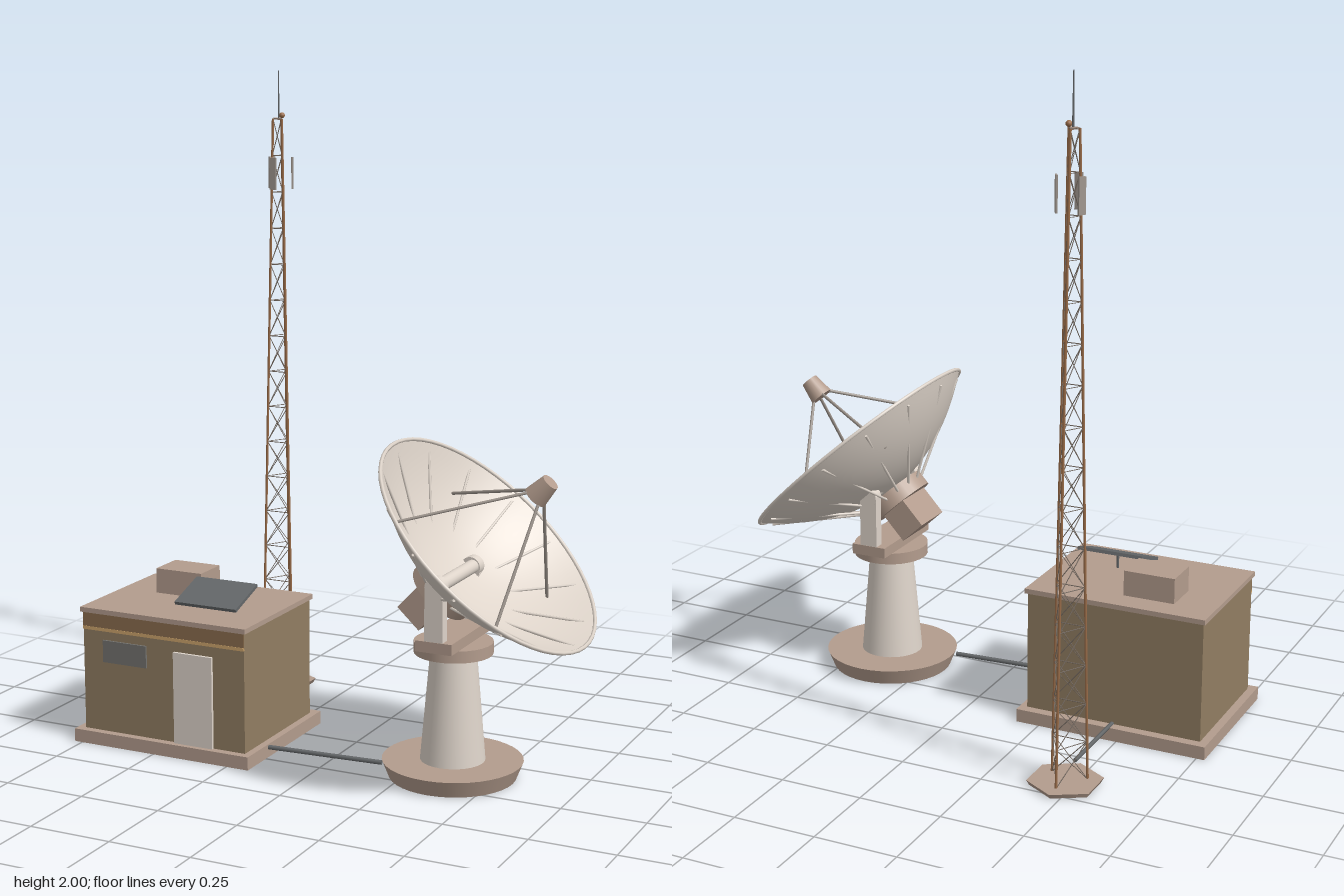
import * as THREE from 'three';

const mat = (name, color) => {
  const m = new THREE.MeshStandardMaterial({ color });
  m.name = name;
  return m;
};

export function createModel() {
  const model = new THREE.Group();
  model.name = 'groundStation';
  const pale = mat('pale paint', 0xded4ca);
  pale.side = THREE.DoubleSide;
  const clay = mat('clay brown', 0xb39c8d);
  const wallTan = mat('wall tan', 0x917d62);
  const bandBrown = mat('band brown', 0x8a6d4e);
  const stripeOchre = mat('ochre', 0xcda46c);
  const slate = mat('slate panel', 0x646769);
  const glass = mat('window grey', 0x74736f);
  const steel = mat('strut steel', 0xa0978f);
  const lattice = mat('lattice grey', 0x7b7067);
  const rust = mat('rust', 0x9c6e4a);

  const V = (x, y, z) => new THREE.Vector3(x, y, z);
  const add = (parent, name, geo, material, x = 0, y = 0, z = 0) => {
    const m = new THREE.Mesh(geo, material);
    m.name = name;
    m.position.set(x, y, z);
    parent.add(m);
    return m;
  };
  // Box given by its minimum and maximum on each axis
  const block = (parent, name, material, x0, x1, y0, y1, z0, z1) =>
    add(parent, name, new THREE.BoxGeometry(x1 - x0, y1 - y0, z1 - z0), material,
      (x0 + x1) / 2, (y0 + y1) / 2, (z0 + z1) / 2);
  // Round bar between two points
  const bar = (parent, name, material, a, b, r, sides = 6) => {
    const m = add(parent, name, new THREE.CylinderGeometry(r, r, a.distanceTo(b), sides), material);
    m.position.copy(a).lerp(b, 0.5);
    m.quaternion.setFromUnitVectors(V(0, 1, 0), b.clone().sub(a).normalize());
    return m;
  };
  const group = (name, parent = model) => {
    const g = new THREE.Group();
    g.name = name;
    parent.add(g);
    return g;
  };

  // Equipment hut
  const hut = group('hut');
  block(hut, 'foundation', clay, -0.775, -0.178, 0, 0.04, -0.11, 0.362);
  block(hut, 'walls', wallTan, -0.75, -0.2, 0.04, 0.405, -0.08, 0.338);
  block(hut, 'roof', clay, -0.757, -0.193, 0.405, 0.42, -0.088, 0.345);
  block(hut, 'band', bandBrown, -0.75, -0.2, 0.362, 0.405, 0.336, 0.341);
  block(hut, 'stripe', stripeOchre, -0.75, -0.2, 0.352, 0.362, 0.336, 0.342);
  block(hut, 'door', pale, -0.435, -0.305, 0.04, 0.32, 0.338, 0.347);
  block(hut, 'window', glass, -0.68, -0.53, 0.257, 0.325, 0.337, 0.344);
  block(hut, 'roofUnit', clay, -0.633, -0.475, 0.42, 0.497, -0.01, 0.106);
  const solar = add(hut, 'solarPanel', new THREE.BoxGeometry(0.208, 0.01, 0.142), slate, -0.373, 0.467, 0.193);
  solar.rotation.x = 0.33;
  bar(hut, 'panelPost', slate, V(-0.373, 0.415, 0.193), V(-0.373, 0.465, 0.193), 0.004);

  // Ground conduits
  bar(model, 'towerConduit', slate, V(-0.475, 0.042, -0.352), V(-0.475, 0.042, -0.08), 0.006, 8);
  bar(model, 'dishConduit', slate, V(-0.18, 0.03, 0.23), V(0.18, 0.03, 0.205), 0.007, 8);

  // Lattice tower
  const tower = group('tower');
  tower.position.set(-0.475, 0, -0.42);
  add(tower, 'towerPad', new THREE.CylinderGeometry(0.11, 0.102, 0.014, 6), clay, 0, 0.007, 0);
  const H = 1.85, levels = 16;
  const corner = (i, t) => {
    const a = Math.PI + i * Math.PI * 2 / 3, r = 0.063 - 0.045 * t;
    return V(Math.sin(a) * r, 0.012 + (H - 0.012) * t, Math.cos(a) * r);
  };
  for (let i = 0; i < 3; i++) {
    bar(tower, 'towerLeg', rust, corner(i, 0), corner(i, 1), 0.0038);
    for (let k = 0; k < levels; k++) {
      const t0 = k / levels, t1 = (k + 1) / levels;
      bar(tower, 'crossBrace', lattice, corner(i, t0), corner(i + 1, t1), 0.0013, 4);
      bar(tower, 'crossBrace', lattice, corner(i + 1, t0), corner(i, t1), 0.0013, 4);
      bar(tower, 'ringBrace', lattice, corner(i, t1), corner(i + 1, t1), 0.0014, 4);
    }
    // Panel antennas around the upper mast
    const arm = group('panelAntenna', tower);
    arm.rotation.y = i * Math.PI * 2 / 3;
    add(arm, 'antennaPanel', new THREE.BoxGeometry(0.022, 0.1, 0.006), steel, 0, 1.68, 0.042);
  }
  add(tower, 'topPlate', new THREE.CylinderGeometry(0.016, 0.016, 0.006, 3), clay, 0, H, 0).rotation.y = Math.PI;
  add(tower, 'lightningRod', new THREE.CylinderGeometry(0.0015, 0.003, 0.15, 6), slate, 0, 1.925, 0);
  add(tower, 'warningLamp', new THREE.SphereGeometry(0.009, 12, 8), rust, 0.012, 1.861, 0);

  // Dish pedestal
  const pedestal = group('pedestal');
  pedestal.position.set(0.373, 0, 0.132);
  add(pedestal, 'footing', new THREE.CylinderGeometry(0.206, 0.186, 0.05, 40), clay, 0, 0.025, 0);
  add(pedestal, 'column', new THREE.CylinderGeometry(0.067, 0.095, 0.325, 32), pale, 0, 0.2125, 0);
  add(pedestal, 'collar', new THREE.CylinderGeometry(0.115, 0.115, 0.035, 32), clay, 0, 0.3875, 0);
  block(pedestal, 'turntable', clay, -0.056, 0.056, 0.405, 0.437, -0.148, 0.148);
  for (const s of [-1, 1]) {
    block(pedestal, 'yokeArm', pale, -0.028, 0.028, 0.437, 0.594, s * 0.131 - 0.016, s * 0.131 + 0.016);
    add(pedestal, 'yokeCap', new THREE.CylinderGeometry(0.03, 0.03, 0.034, 24), pale, 0.002, 0.594, s * 0.131).rotation.x = Math.PI / 2;
  }
  add(pedestal, 'pivotShaft', new THREE.CylinderGeometry(0.02, 0.02, 0.296, 20), pale, 0.008, 0.597, 0).rotation.x = Math.PI / 2;

  // Dish, built along its own axis with the rim at height zero
  const dish = group('dish');
  dish.position.set(0.48, 0.702, 0.132);
  dish.rotation.z = -Math.atan2(0.68, 0.733);
  const R = 0.392, depth = 0.168;
  const surf = r => depth * (r * r / (R * R) - 1);
  const profile = [];
  for (let i = 0; i <= 14; i++) profile.push(new THREE.Vector2(R * i / 14, surf(R * i / 14)));
  add(dish, 'reflector', new THREE.LatheGeometry(profile, 56), pale);
  add(dish, 'rim', new THREE.TorusGeometry(R, 0.006, 6, 56), pale).rotation.x = Math.PI / 2;
  add(dish, 'hub', new THREE.CylinderGeometry(0.1, 0.1, 0.05, 28), clay, 0, -0.196, 0);
  add(dish, 'receiverBox', new THREE.BoxGeometry(0.09, 0.1, 0.14), clay, -0.005, -0.268, 0);
  const polar = (r, a, h) => V(Math.cos(a) * r, h, Math.sin(a) * r);
  for (let i = 0; i < 14; i++) {
    const a = i * Math.PI * 2 / 14;
    bar(dish, 'backRib', pale, polar(0.08, a, -0.2), polar(0.37, a, -0.021), 0.0042);
  }
  // Feed horn on four struts
  for (let i = 0; i < 4; i++) {
    const a = Math.PI / 4 + i * Math.PI / 2;
    bar(dish, 'feedStrut', steel, polar(0.29, a, surf(0.29)), polar(0.018, a, 0.215), 0.0048);
  }
  add(dish, 'feedHorn', new THREE.CylinderGeometry(0.026, 0.036, 0.065, 20), clay, 0, 0.232, 0);
  return model;
}
